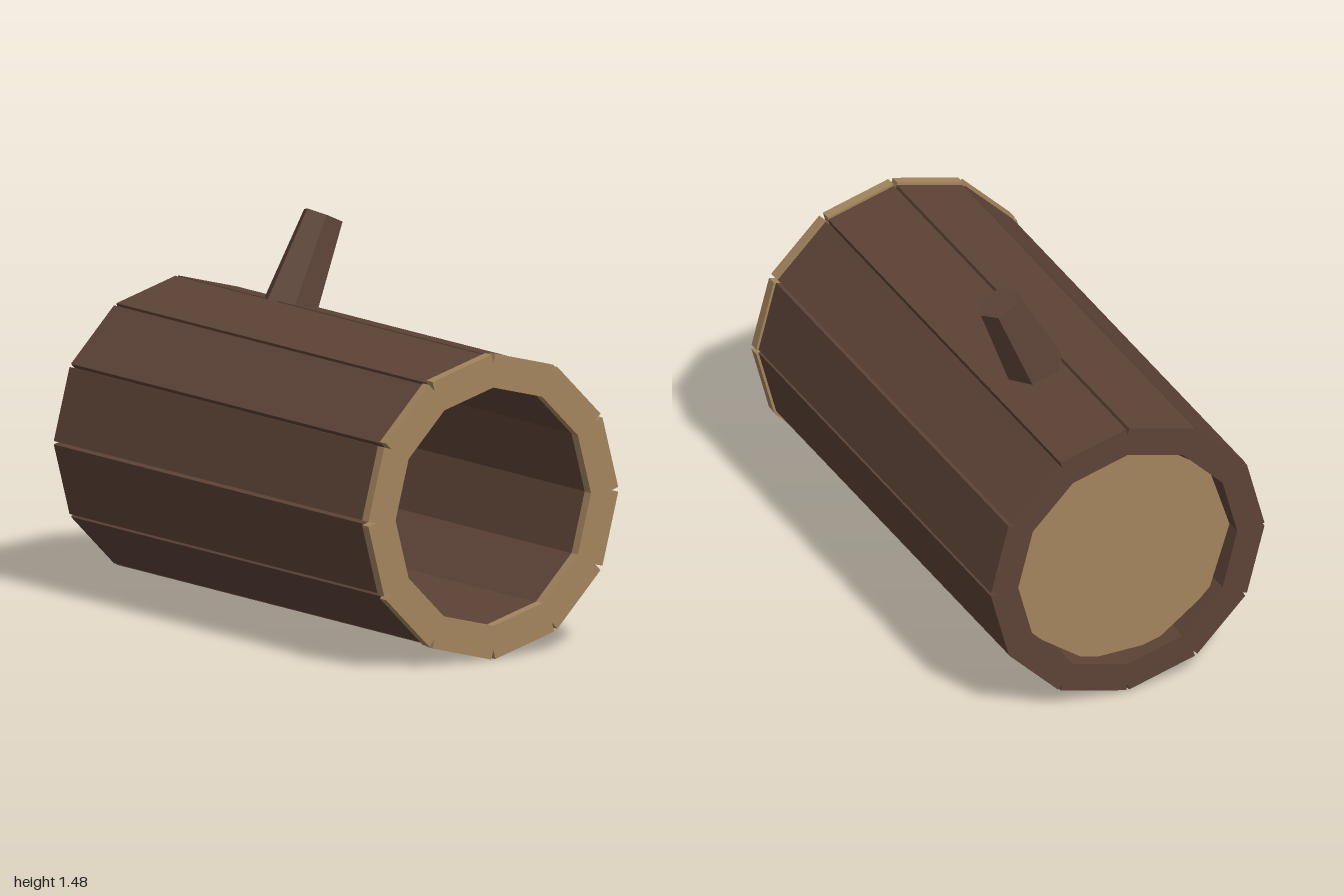
import * as THREE from 'three';

const PLANKS = 12;
const CENTRE_Y = 0.5825;

export function createModel() {
  const bark = new THREE.MeshStandardMaterial({ color: 0x5d4337 });
  bark.name = 'bark brown';
  const cutWood = new THREE.MeshStandardMaterial({ color: 0xa3845d, side: THREE.DoubleSide });
  cutWood.name = 'cut wood tan';

  const log = new THREE.Group();
  log.name = 'hollowLog';

  // Ring of identical boards around the z axis, with narrow grooves between them
  function boardRing(name, inner, outer, zBack, zFront, material) {
    const ring = new THREE.Group();
    ring.name = name + 'Ring';
    ring.position.y = CENTRE_Y;
    const geometry = new THREE.BoxGeometry(outer - inner, 0.284, zFront - zBack);
    geometry.translate((inner + outer) / 2, 0, (zBack + zFront) / 2);
    for (let i = 0; i < PLANKS; i++) {
      const board = new THREE.Mesh(geometry, material);
      board.name = name;
      board.rotation.z = ((i + 0.5) / PLANKS) * Math.PI * 2;
      ring.add(board);
    }
    log.add(ring);
  }

  // Long bark staves and the slightly proud pale rim at the open front
  boardRing('barkPlank', 0.443, 0.555, -1, 0.96, bark);
  boardRing('rimBlock', 0.44, 0.565, 0.96, 1, cutWood);

  // Ten-sided panel closing the back, set in a little
  const panel = new THREE.Mesh(new THREE.CircleGeometry(0.456, 10), cutWood);
  panel.name = 'backPanel';
  panel.position.set(0, CENTRE_Y, -0.94);
  log.add(panel);

  // Tapered six-sided branch stub leaning to the side
  const length = 0.4;
  const stub = new THREE.CylinderGeometry(0.082, 0.114, length, 6, 1, false, Math.PI / 2).toNonIndexed();
  stub.computeVertexNormals();
  stub.translate(0, -length / 2, 0);
  const branch = new THREE.Mesh(stub, bark);
  branch.name = 'branchStub';
  branch.position.set(0.245, 1.45, -0.405);
  branch.rotation.z = -0.436;
  log.add(branch);

  return log;
}
